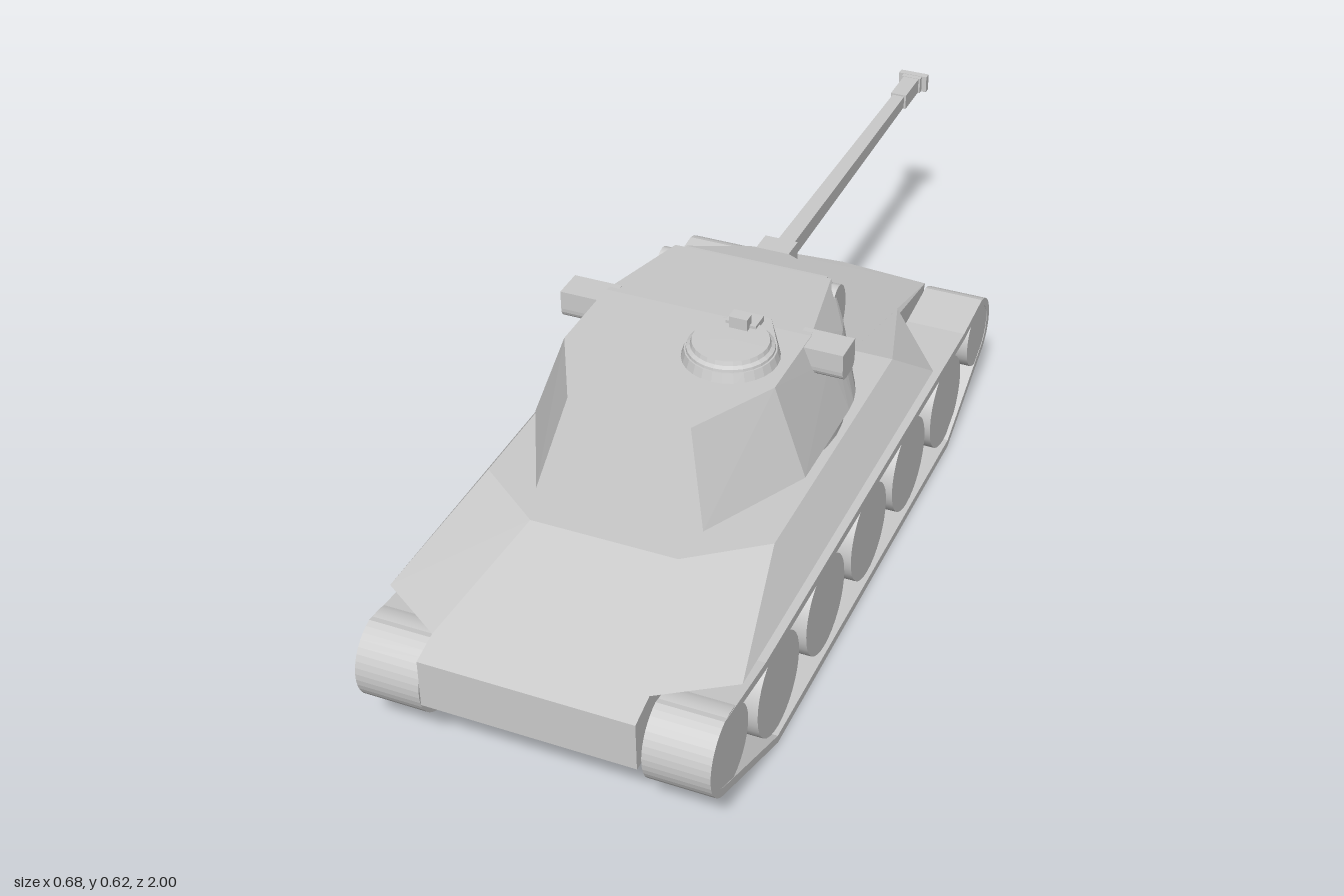
import * as THREE from 'three';
import { ConvexGeometry } from 'three/addons/geometries/ConvexGeometry.js';

const flat = new THREE.MeshStandardMaterial({ color: 0xcccccc, flatShading: true });
const smooth = new THREE.MeshStandardMaterial({ color: 0xcccccc });

export function createModel() {
  const model = new THREE.Group();

  const add = (name, geometry, material = flat, x = 0, y = 0, z = 0) => {
    const mesh = new THREE.Mesh(geometry, material);
    mesh.name = name;
    mesh.position.set(x, y, z);
    model.add(mesh);
    return mesh;
  };
  // Faceted solid around corners given for the +x half and mirrored
  const plated = (name, half, x = 0) => add(name, new ConvexGeometry(
    half.flatMap(([px, y, z]) => [new THREE.Vector3(px, y, z), new THREE.Vector3(-px, y, z)])), flat, x);
  const box = (name, w, h, d, x, y, z) => add(name, new THREE.BoxGeometry(w, h, d), flat, x, y, z);

  // Hull
  plated('lowerHull', [
    [0.207, 0.265, 1], [0.207, 0.165, 1], [0.145, 0.36, 0.68], [0.207, 0.282, 0.942],
    [0.15, 0.115, 0.88], [0.207, 0.16, 0.9],
    [0.15, 0.115, -0.33], [0.207, 0.16, -0.36], [0.207, 0.282, -0.33],
    [0.2, 0.36, -0.05], [0.2, 0.244, -0.515], [0.2, 0.2, -0.5],
    [0, 0.2375, -0.54], [0, 0.2, -0.525],
  ]);
  plated('upperHull', [
    [0.285, 0.36, 0.575], [0.145, 0.36, 0.68], [0.285, 0.36, -0.05],
    [0.34, 0.282, 0.855], [0.207, 0.282, 0.942],
    [0.34, 0.282, -0.15], [0.2, 0.29, -0.33], [0.2, 0.282, -0.33],
  ]);

  // Running gear
  const rear = { z: 0.91, y: 0.18, r: 0.085 };
  const front = { z: -0.467, y: 0.18, r: 0.077 };
  const beltPoints = (inset) => {
    const points = [];
    const arc = (wheel, from, to) => {
      for (let i = 0; i <= 16; i++) {
        const a = THREE.MathUtils.degToRad(from + (to - from) * i / 16);
        const r = wheel.r - inset;
        points.push(new THREE.Vector2(wheel.z + r * Math.cos(a), wheel.y + r * Math.sin(a)));
      }
    };
    arc(rear, 75, -66);
    points.push(new THREE.Vector2(0.69, inset), new THREE.Vector2(-0.285, inset));
    arc(front, -126, -260);
    points.push(new THREE.Vector2(-0.36, 0.243 - inset), new THREE.Vector2(0.75, 0.243 - inset));
    return points;
  };
  const belt = new THREE.Shape(beltPoints(0));
  belt.holes.push(new THREE.Path(beltPoints(0.017).reverse()));
  const beltGeometry = new THREE.ExtrudeGeometry(belt, { depth: 0.127, bevelEnabled: false })
    .rotateY(-Math.PI / 2).translate(0.0635, 0, 0);
  const wheelGeometry = (r, w) => new THREE.CylinderGeometry(r, r, w, 32).rotateZ(Math.PI / 2);

  for (const side of [1, -1]) {
    add('trackBelt', beltGeometry, flat, side * 0.2765);
    for (let i = 0; i < 5; i++)
      add('roadWheel', wheelGeometry(0.1, 0.11), smooth, side * 0.277, 0.121, 0.668 - i * 0.236);
    add('driveWheel', wheelGeometry(rear.r - 0.003, 0.125), smooth, side * 0.2765, rear.y, rear.z);
    add('idlerWheel', wheelGeometry(front.r - 0.003, 0.125), smooth, side * 0.2765, front.y, front.z);
    // Housing between hull and drive wheel, sloping under at the back
    const housing = [];
    for (const x of [0.2, 0.213])
      for (const [y, z] of [[0.165, 0.95], [0.082, 0.86], [0.082, 0.81], [0.165, 0.78]])
        housing.push(new THREE.Vector3(side * x, y, z));
    for (const z of [0.79, 0.87]) housing.push(new THREE.Vector3(side * 0.145, 0.116, z));
    add('driveHousing', new ConvexGeometry(housing));
  }

  // Turret
  add('turretRing', new THREE.CylinderGeometry(0.272, 0.272, 0.03, 40), smooth, 0, 0.37, 0.23);
  const turret = [
    [0.165, 0.38, 0.615], [0.275, 0.38, 0.4],
    [0.12, 0.557, 0.56], [0.21, 0.557, 0.39], [0.21, 0.557, 0.21],
    [0.165, 0.54, -0.015], [0.165, 0.42, -0.02],
  ];
  for (let i = 0; i <= 8; i++) {
    const a = i / 8 * Math.PI / 2;
    turret.push([0.15 + 0.125 * Math.cos(a), 0.38, 0.17 - 0.16 * Math.sin(a)]);
    turret.push([0.16 + 0.077 * Math.cos(a), 0.49, 0.18 - 0.19 * Math.sin(a)]);
  }
  plated('turret', turret);

  // Side pods with a rounded underside
  const pod = new THREE.Shape();
  pod.moveTo(-0.032, 0.03).lineTo(-0.032, -0.008).quadraticCurveTo(-0.032, -0.03, -0.01, -0.03)
    .lineTo(0.01, -0.03).quadraticCurveTo(0.032, -0.03, 0.032, -0.008).lineTo(0.032, 0.03);
  const podGeometry = new THREE.ExtrudeGeometry(pod, { depth: 0.1, bevelEnabled: false, curveSegments: 5 })
    .rotateY(-Math.PI / 2).translate(0.05, 0, 0);
  for (const side of [1, -1]) {
    add('turretPod', podGeometry, flat, side * 0.238, 0.526, 0.217);
    // Rounded cheeks beside the gun shield
    const cheek = add('shieldCheek', new THREE.CylinderGeometry(0.057, 0.057, 0.03, 20).rotateZ(Math.PI / 2),
      smooth, side * 0.172, 0.48, 0);
    cheek.scale.z = 0.7;
  }

  // Gun
  plated('gunShield', [
    [0.155, 0.535, 0.02], [0.155, 0.405, 0.02], [0.15, 0.53, -0.035], [0.15, 0.415, -0.035],
    [0.04, 0.512, -0.11], [0.04, 0.432, -0.11],
  ]);
  box('gunCollar', 0.07, 0.07, 0.07, 0, 0.47, -0.135);
  plated('barrel', [
    [0.018, 0.486, -0.16], [0.018, 0.45, -0.16], [0.013, 0.481, -0.97], [0.013, 0.455, -0.97],
  ]);
  box('barrelSleeve', 0.036, 0.034, 0.1, 0, 0.468, -0.935);
  box('muzzle', 0.066, 0.038, 0.016, 0, 0.468, -0.992);
  box('muzzleNeck', 0.044, 0.036, 0.014, 0, 0.468, -0.979);

  // Commander's cupola on a teardrop base
  const base = [[0.035, 0.55, 0.2], [0.033, 0.574, 0.208]];
  for (let i = 0; i <= 14; i++) {
    const a = Math.PI * (i / 14 - 0.5);
    base.push([0.094 * Math.cos(a), 0.55, 0.325 + 0.094 * Math.sin(a)]);
    base.push([0.086 * Math.cos(a), 0.575, 0.325 + 0.086 * Math.sin(a)]);
  }
  plated('cupolaBase', base, 0.097);
  const profile = [[0.084, 0.57], [0.082, 0.58], [0.075, 0.584], [0.072, 0.592], [0, 0.593]]
    .map(([r, y]) => new THREE.Vector2(r, y));
  add('cupola', new THREE.LatheGeometry(profile, 28), flat, 0.097, 0, 0.325);
  box('cupolaHinge', 0.06, 0.012, 0.04, 0.097, 0.592, 0.258);
  box('cupolaPeriscope', 0.036, 0.028, 0.02, 0.097, 0.602, 0.28);

  // Bow gun set into the sloped front plate
  const blister = add('bowGunBlister', new THREE.SphereGeometry(0.05, 20, 12), smooth, -0.085, 0.33, -0.15);
  blister.scale.set(1, 0.45, 1.1);
  blister.rotation.x = -0.24;
  const bowGun = add('bowGun', new THREE.CylinderGeometry(0.009, 0.009, 0.05, 10).rotateX(Math.PI / 2),
    smooth, -0.1, 0.337, -0.19);
  bowGun.rotation.set(-0.2, 0.2, 0);
  const sight = box('bowSight', 0.03, 0.015, 0.02, -0.075, 0.346, -0.18);
  sight.rotation.x = -0.24;

  return model;
}
